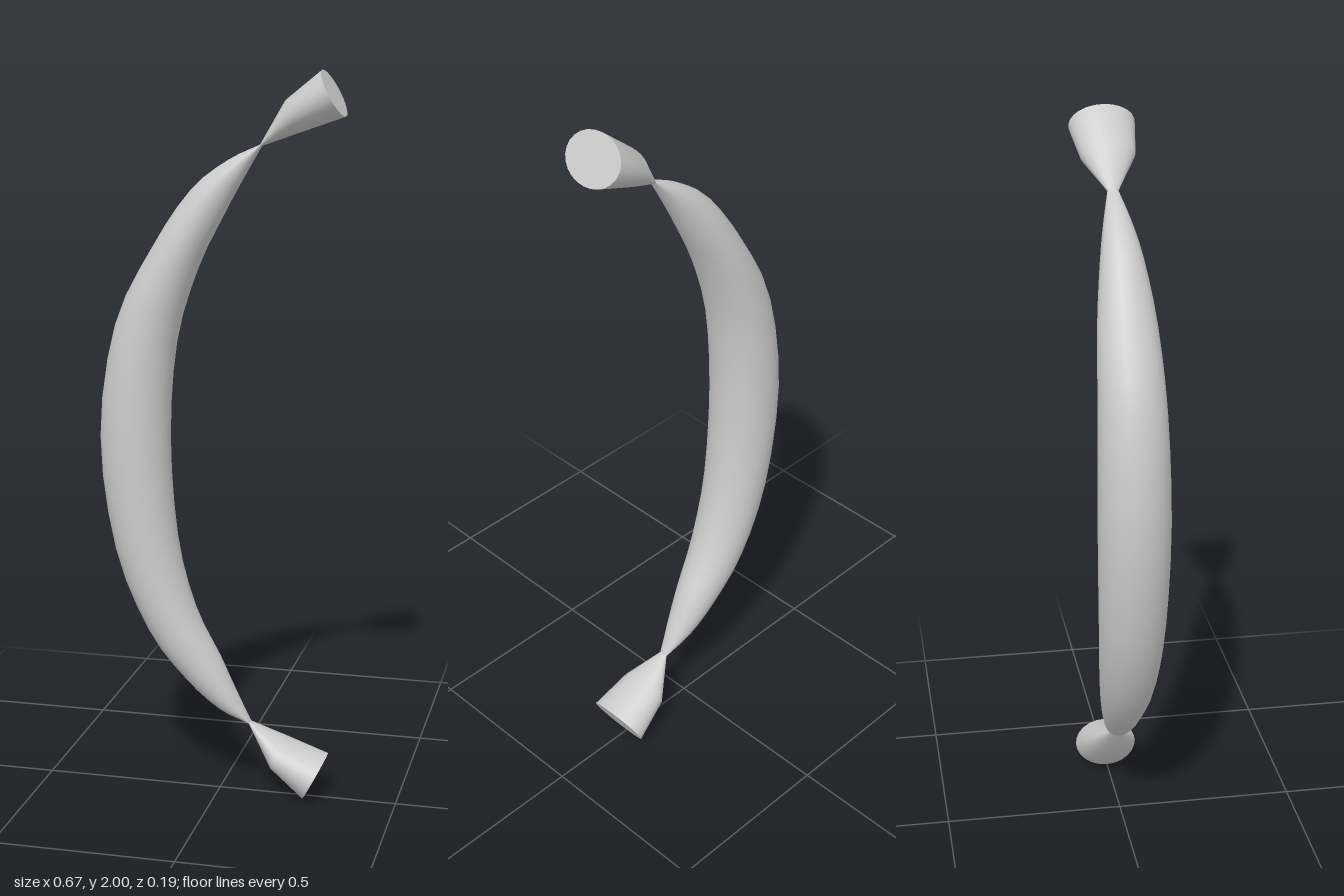
import * as THREE from 'three';

const SIDES = 24;

// Cross-sections: [outer x, outer y, inner x, inner y, half width in z]
const lowerPinch = [0.084, 0.203, 0.088, 0.208, 0.013];
const upperPinch = [0.108, 1.806, 0.112, 1.802, 0.015];
const bodySections = [
  lowerPinch,
  [0, 0.24, 0.04, 0.305, 0.04],
  [-0.098, 0.325, 0, 0.39, 0.06],
  [-0.203, 0.462, -0.072, 0.53, 0.079],
  [-0.295, 0.69, -0.123, 0.73, 0.091],
  [-0.335, 1.01, -0.142, 1.01, 0.097],
  [-0.29, 1.32, -0.122, 1.275, 0.091],
  [-0.183, 1.535, -0.062, 1.475, 0.079],
  [-0.08, 1.685, 0.01, 1.62, 0.058],
  [0.02, 1.764, 0.06, 1.712, 0.037],
  upperPinch,
];
const lowerEnd = [0.241, 0.003, 0.305, 0.124, 0.09];
const lowerFlare = [0.15, 0.082, 0.187, 0.167, 0.073];
const upperFlare = [0.177, 1.923, 0.21, 1.837, 0.074];
const upperEnd = [0.27, 1.999, 0.333, 1.88, 0.09];

// Skin a row of elliptical cross-sections
function loft(sections) {
  const positions = [];
  const index = [];
  sections.forEach(([ox, oy, ix, iy, hz], i) => {
    const cx = (ox + ix) / 2, cy = (oy + iy) / 2;
    for (let j = 0; j < SIDES; j++) {
      const t = (j / SIDES) * Math.PI * 2;
      positions.push(cx + (ox - cx) * Math.cos(t), cy + (oy - cy) * Math.cos(t), hz * Math.sin(t));
      if (i === sections.length - 1) continue;
      const a = i * SIDES + j, b = i * SIDES + ((j + 1) % SIDES);
      index.push(a, b, a + SIDES, b, b + SIDES, a + SIDES);
    }
  });
  const geometry = new THREE.BufferGeometry();
  geometry.setAttribute('position', new THREE.Float32BufferAttribute(positions, 3));
  geometry.setIndex(index);
  geometry.computeVertexNormals();
  return geometry;
}

// Smooth the sections by running splines through their edges and widths
function refine(sections, steps) {
  const spline = (f) => new THREE.CatmullRomCurve3(sections.map(f), false, 'catmullrom', 0.5);
  const outer = spline((s) => new THREE.Vector3(s[0], s[1], s[4]));
  const inner = spline((s) => new THREE.Vector3(s[2], s[3], 0));
  return Array.from({ length: steps + 1 }, (_, i) => {
    const o = outer.getPoint(i / steps), n = inner.getPoint(i / steps);
    return [o.x, o.y, n.x, n.y, o.z];
  });
}

// A section shrunk to its centre, used to close an end
function collapse([ox, oy, ix, iy]) {
  const x = (ox + ix) / 2, y = (oy + iy) / 2;
  return [x, y, x, y, 0];
}

export function createModel() {
  const group = new THREE.Group();
  group.name = 'curvedHandle';
  const material = new THREE.MeshStandardMaterial({ color: 0xcccccc });
  const add = (name, sections) => {
    const mesh = new THREE.Mesh(loft(sections), material);
    mesh.name = name;
    group.add(mesh);
  };

  // Bowed grip, swelling towards the middle
  add('grip', refine(bodySections, 30));

  // Flared feet beyond the pinches, with flat end caps
  add('lowerFoot', [lowerEnd, lowerFlare, lowerPinch]);
  add('lowerCap', [collapse(lowerEnd), lowerEnd]);
  add('upperFoot', [upperPinch, upperFlare, upperEnd]);
  add('upperCap', [upperEnd, collapse(upperEnd)]);

  return group;
}
